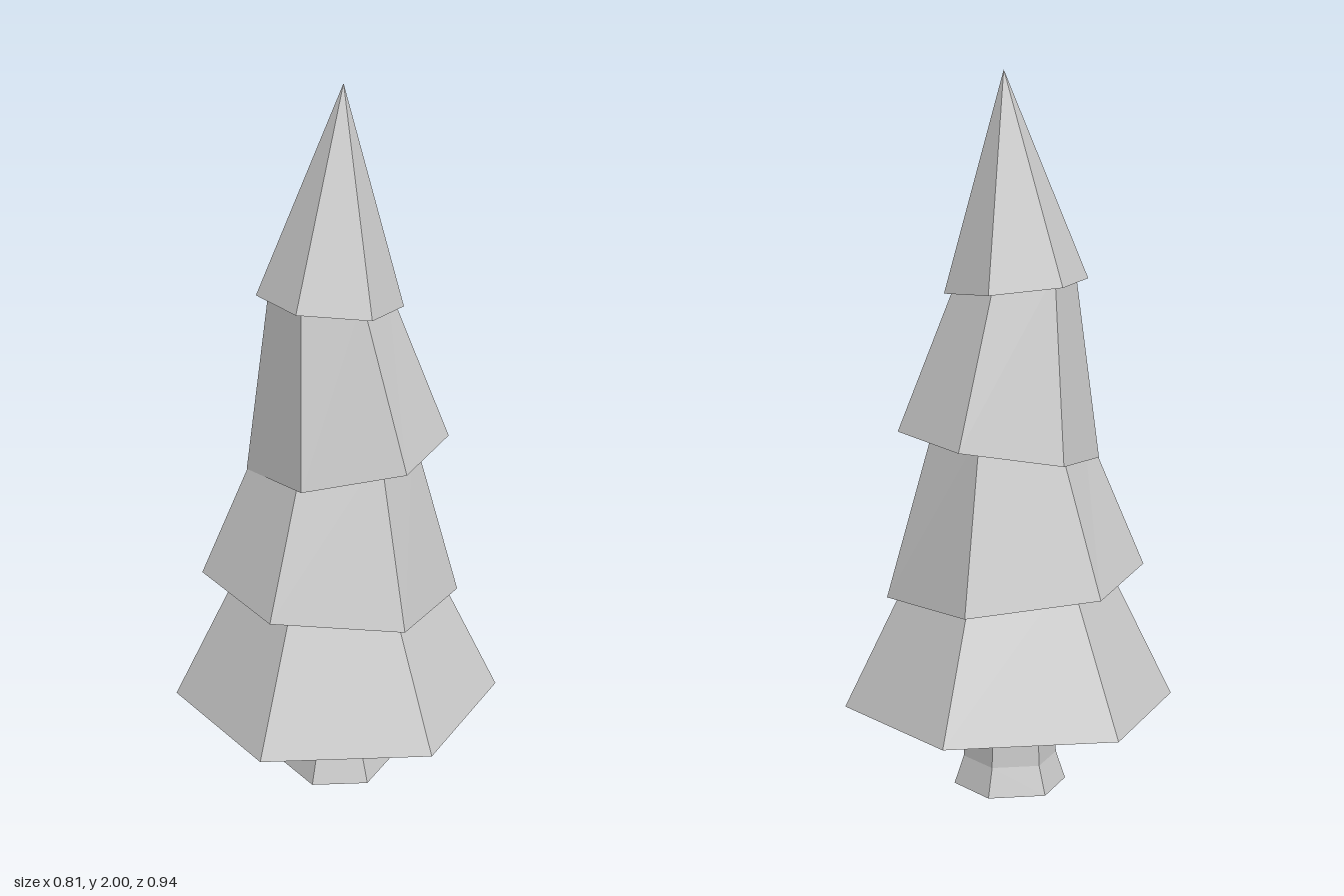
import * as THREE from 'three';

const material = new THREE.MeshStandardMaterial({ color: 0xcccccc, flatShading: true });

// Six-sided frustum between two rings; each ring has a centre, radius and tilt (rise per unit x and z)
function frustum(name, bottom, top) {
  let geo = new THREE.CylinderGeometry(top.r, bottom.r, 1, 6, 1);
  const pos = geo.attributes.position;
  for (let i = 0; i < pos.count; i++) {
    const x = pos.getX(i), z = pos.getZ(i);
    const { c, tilt = [0, 0] } = pos.getY(i) > 0 ? top : bottom;
    pos.setXYZ(i, c[0] + x, c[1] + tilt[0] * x + tilt[1] * z, c[2] + z);
  }
  geo = geo.toNonIndexed();
  geo.computeVertexNormals();
  const mesh = new THREE.Mesh(geo, material);
  mesh.name = name;
  return mesh;
}

export function createModel() {
  const tree = new THREE.Group();
  tree.name = 'pineTree';

  // Trunk with a flared foot
  const profile = [[0, 0], [0.16, 0], [0.133, 0.08], [0.124, 0.26], [0, 0.26]]
    .map(([r, y]) => new THREE.Vector2(r, y));
  const trunkGeo = new THREE.LatheGeometry(profile, 6).toNonIndexed();
  trunkGeo.computeVertexNormals();
  const trunk = new THREE.Mesh(trunkGeo, material);
  trunk.name = 'trunk';
  tree.add(trunk);

  // Foliage tiers, lowest first; each top is tucked inside the tier above
  const tiers = [
    ['lowestTier',
      { c: [0, 0.24, 0], r: 0.468 },
      { c: [0, 0.66, 0], r: 0.262 }],
    ['lowerTier',
      { c: [-0.015, 0.588, 0.01], r: 0.365, tilt: [-0.08, 0.062] },
      { c: [0.002, 1.04, -0.002], r: 0.208 }],
    ['upperTier',
      { c: [0.025, 0.978, -0.018], r: 0.282, tilt: [0.135, -0.07] },
      { c: [-0.018, 1.46, 0.014], r: 0.16 }],
    ['treetop',
      { c: [-0.015, 1.418, 0.01], r: 0.2, tilt: [-0.075, 0.06] },
      { c: [0.013, 2, -0.013], r: 0 }],
  ];
  for (const [name, bottom, top] of tiers) tree.add(frustum(name, bottom, top));

  return tree;
}
